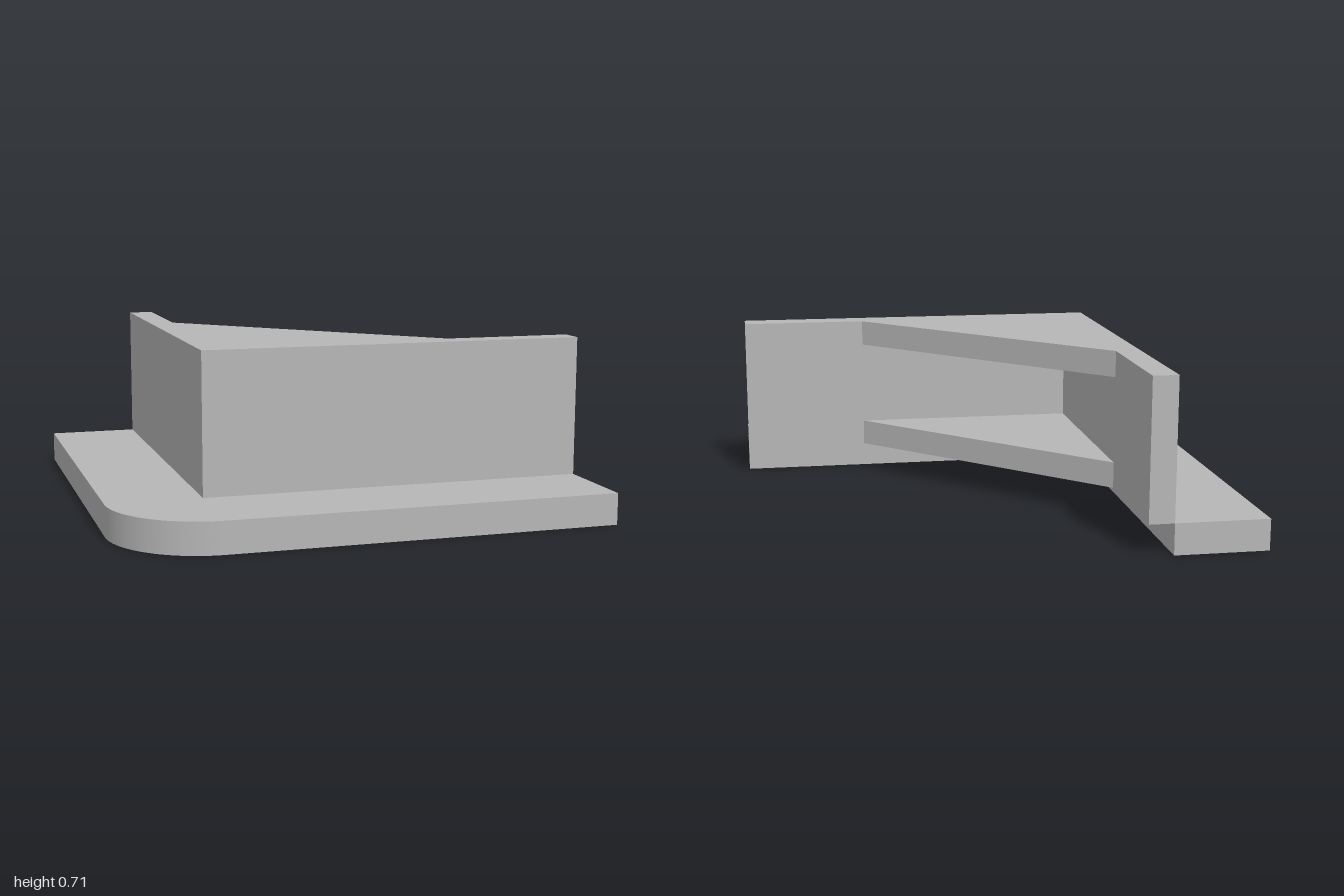
import * as THREE from 'three';
import { toCreasedNormals } from 'three/addons/utils/BufferGeometryUtils.js';

// Plan outlines are drawn with shape y = -z, then raised along y.
export function createModel() {
  const model = new THREE.Group();
  const grey = new THREE.MeshStandardMaterial({ color: 0xb6b6b6 });
  grey.name = 'grey';

  const outer = 0.61;  // outer faces of the walls, inner edge of the base
  const inner = 0.505; // inner faces of the walls
  const baseTop = 0.13, top = 0.715, plate = 0.11;

  function addSlab(name, shape, bottom, height) {
    const geometry = new THREE.ExtrudeGeometry(shape, { depth: height, bevelEnabled: false, curveSegments: 32 });
    geometry.rotateX(-Math.PI / 2);
    geometry.translate(0, bottom, 0);
    const mesh = new THREE.Mesh(toCreasedNormals(geometry, 0.5), grey);
    mesh.name = name;
    model.add(mesh);
  }

  // L-shaped base flange with a rounded outer corner
  const base = new THREE.Shape();
  base.moveTo(-1, 1);
  base.lineTo(-1, -outer);
  base.absarc(-outer, -outer, 1 - outer, Math.PI, Math.PI * 1.5, false);
  base.lineTo(1, -1);
  base.lineTo(1, -outer);
  base.lineTo(-outer, -outer);
  base.lineTo(-outer, 1);
  base.closePath();
  addSlab('baseFlange', base, 0, baseTop);

  // Upright corner walls along the inner edge of the flange
  const walls = new THREE.Shape([
    [-outer, 1], [-outer, -outer], [1, -outer],
    [1, -inner], [-inner, -inner], [-inner, 1],
  ].map(([x, y]) => new THREE.Vector2(x, y)));
  addSlab('cornerWalls', walls, baseTop, top - baseTop);

  // Triangular gussets at the bottom and top of the inside corner
  const gusset = new THREE.Shape([
    [-inner, -inner], [0.46, -inner], [-inner, 0.46],
  ].map(([x, y]) => new THREE.Vector2(x, y)));
  addSlab('lowerGusset', gusset, baseTop, plate);
  addSlab('upperGusset', gusset, top - plate, plate);

  return model;
}
